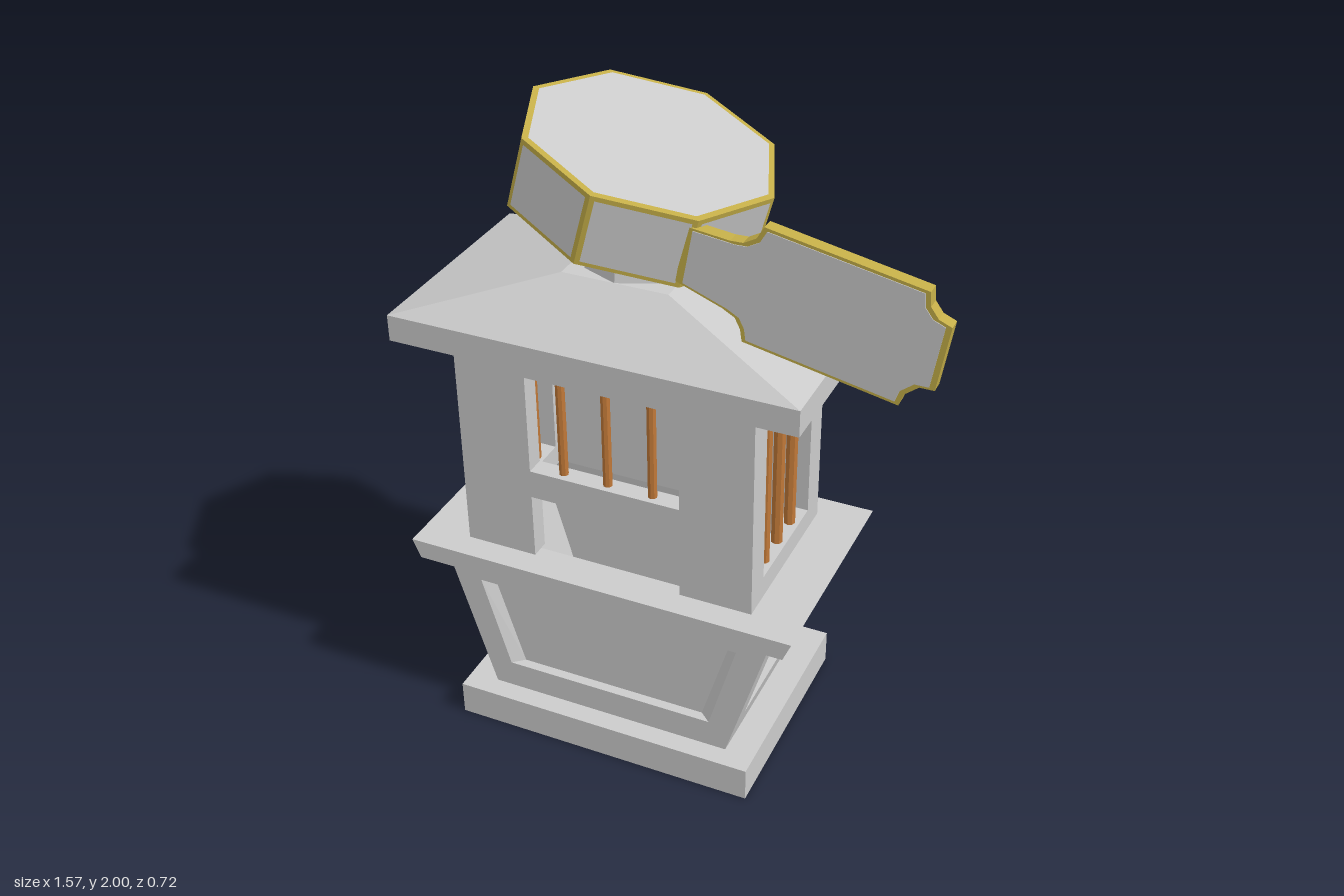
import * as THREE from 'three';

const mat = (color) => new THREE.MeshStandardMaterial({ color, flatShading: true });
const grey = mat(0xcccccc), gold = mat(0xc4ae48), copper = mat(0xc07838);

function add(parent, name, geometry, material = grey, x = 0, y = 0, z = 0) {
  const mesh = new THREE.Mesh(geometry, material);
  mesh.name = name;
  mesh.position.set(x, y, z);
  parent.add(mesh);
  return mesh;
}

// Strips of quads joining matching four-cornered loops; optionally closes the last loop
function loft(loops, cap = false) {
  const out = [];
  const quad = (a, b, c, d) => out.push(...a, ...b, ...c, ...a, ...c, ...d);
  for (let k = 0; k < loops.length - 1; k++) {
    for (let i = 0; i < 4; i++) {
      const j = (i + 1) % 4;
      quad(loops[k][i], loops[k][j], loops[k + 1][j], loops[k + 1][i]);
    }
  }
  if (cap) quad(...loops[loops.length - 1]);
  const g = new THREE.BufferGeometry();
  g.setAttribute('position', new THREE.Float32BufferAttribute(out, 3));
  g.computeVertexNormals();
  return g;
}

// Horizontal rectangle with half sizes hx, hz
const rect = (hx, hz, y) => [[-hx, y, hz], [hx, y, hz], [hx, y, -hz], [-hx, y, -hz]];

// Upright symmetric trapezoid facing +z or, for the sides, +x
const frontLoop = (b, t, y0, y1, z) => [[-b, y0, z], [b, y0, z], [t, y1, z], [-t, y1, z]];
const bodyHalf = (y) => 0.39 + 0.14 * (y - 0.11) / 0.47;
const sideLoop = (hz, y0, y1, inset) => [
  [bodyHalf(y0) - inset, y0, hz], [bodyHalf(y0) - inset, y0, -hz],
  [bodyHalf(y1) - inset, y1, -hz], [bodyHalf(y1) - inset, y1, hz]];

// Wall centred on its own thickness, with a window and an optional slot at the foot
function wall(half, y0, y1, t, win, slotTop) {
  const s = new THREE.Shape();
  s.moveTo(-half, y0);
  if (slotTop) {
    s.lineTo(-win.h, y0); s.lineTo(-win.h, slotTop);
    s.lineTo(win.h, slotTop); s.lineTo(win.h, y0);
  }
  s.lineTo(half, y0); s.lineTo(half, y1); s.lineTo(-half, y1); s.closePath();
  const hole = new THREE.Path();
  hole.moveTo(-win.h, win.y0); hole.lineTo(-win.h, win.y1);
  hole.lineTo(win.h, win.y1); hole.lineTo(win.h, win.y0); hole.closePath();
  s.holes.push(hole);
  return new THREE.ExtrudeGeometry(s, { depth: t, bevelEnabled: false }).translate(0, 0, -t / 2);
}

function barredWall(parent, name, geometry, win, spacing, radius) {
  const g = new THREE.Group();
  g.name = name;
  add(g, 'wallPanel', geometry);
  for (const i of [-1, 0, 1]) {
    const bar = new THREE.CylinderGeometry(radius, radius, win.y1 - win.y0, 8);
    add(g, 'windowBar', bar, copper, i * spacing, (win.y0 + win.y1) / 2, 0);
  }
  parent.add(g);
  return g;
}

function buildBooth() {
  const booth = new THREE.Group();
  booth.name = 'booth';
  booth.position.set(-0.18, 0, -0.005);

  add(booth, 'base', new THREE.BoxGeometry(0.965, 0.11, 0.696), grey, 0, 0.055, 0);

  // Tapered lower body, one recessed panel per face
  for (const turn of [0, Math.PI]) {
    add(booth, 'broadPanel', loft([
      frontLoop(0.39, 0.53, 0.11, 0.58, 0.285),
      frontLoop(0.335, 0.42, 0.2, 0.5, 0.285),
      frontLoop(0.30, 0.39, 0.2, 0.5, 0.255)], true)).rotation.y = turn;
    add(booth, 'endPanel', loft([
      sideLoop(0.285, 0.11, 0.58, 0),
      sideLoop(0.2, 0.2, 0.5, 0),
      sideLoop(0.185, 0.2, 0.5, 0.03)], true)).rotation.y = turn;
  }

  // Counter ledge, running on into the hollow inside of the body
  add(booth, 'counterLedge', loft([
    rect(0.53, 0.285, 0.58), rect(0.585, 0.348, 0.58), rect(0.61, 0.348, 0.64),
    rect(0.42, 0.23, 0.64), rect(0.48, 0.235, 0.58), rect(0.35, 0.235, 0.11)]));

  // Cabin walls
  const hx = 0.4575, hz = 0.267, t = 0.06, y0 = 0.64, y1 = 1.33;
  const frontWin = { h: 0.235, y0: 0.94, y1: 1.255 };
  const sideWin = { h: 0.178, y0: 0.71, y1: 1.265 };
  barredWall(booth, 'frontWall', wall(hx, y0, y1, t, frontWin, 0.85), frontWin, 0.14, 0.014)
    .position.z = hz - t / 2;
  for (const s of [-1, 1]) {
    const side = barredWall(booth, 'sideWall', wall(hz - t, y0, y1, t, sideWin), sideWin, 0.103, 0.018);
    side.position.x = s * (hx - t / 2);
    side.rotation.y = s * Math.PI / 2;
  }
  add(booth, 'backWall', new THREE.BoxGeometry(hx * 2, y1 - y0, t), grey, 0, (y0 + y1) / 2, -hz + t / 2);

  // Hipped roof and neck
  add(booth, 'eaves', new THREE.BoxGeometry(1.22, 0.08, 0.696), grey, 0, 1.37, 0);
  add(booth, 'roof', loft([rect(0.61, 0.348, 1.41), rect(0.16, 0.16, 1.55)], true));
  add(booth, 'neck', new THREE.CylinderGeometry(0.125, 0.16, 0.22, 8), grey, 0, 1.66, 0);
  return booth;
}

// Tilted eight-sided drum: gold frame with grey panels just proud of it
function buildDrum() {
  const drum = new THREE.Group();
  drum.name = 'drum';
  drum.position.set(-0.162, 1.805, 0);
  drum.rotation.z = -0.269;
  const r = 0.361, h = 0.207, apothem = r * Math.cos(Math.PI / 8);
  add(drum, 'drumFrame', new THREE.CylinderGeometry(r, r, h, 8), gold);
  for (const s of [-1, 1]) {
    add(drum, 'drumFace', new THREE.CircleGeometry(r - 0.018, 8), grey, 0, s * (h / 2 + 0.002), 0)
      .rotation.x = -s * Math.PI / 2;
  }
  for (let i = 0; i < 8; i++) {
    const a = (i + 0.5) * Math.PI / 4, d = apothem + 0.002;
    add(drum, 'drumSidePanel', new THREE.PlaneGeometry(0.25, h - 0.024), grey,
      d * Math.sin(a), 0, d * Math.cos(a)).rotation.y = a;
  }
  return drum;
}

// Ticket-shaped plate with scooped corners, gold edge and grey faces
function buildPlate() {
  const plate = new THREE.Group();
  plate.name = 'ticketPlate';
  const pts = [[0.05, 1.66], [0.18, 1.61], [0.215, 1.59], [0.23, 1.56], [0.235, 1.525],
    [0.66, 1.44], [0.672, 1.475], [0.71, 1.505], [0.75, 1.505],
    [0.78, 1.69], [0.745, 1.705], [0.723, 1.735], [0.72, 1.775],
    [0.29, 1.86], [0.27, 1.825], [0.235, 1.806], [0.2, 1.805], [0.08, 1.82]];
  const slab = (scale, depth) => {
    const shape = new THREE.Shape(pts.map(([x, y]) =>
      new THREE.Vector2(0.46 + (x - 0.46) * scale, 1.65 + (y - 1.65) * scale)));
    return new THREE.ExtrudeGeometry(shape, { depth, bevelEnabled: false }).translate(0, 0, -depth / 2);
  };
  add(plate, 'plateEdge', slab(1, 0.038), gold);
  add(plate, 'plateFaces', slab(0.95, 0.042), grey);
  plate.position.z = 0.245;
  return plate;
}

export function createModel() {
  const model = new THREE.Group();
  model.name = 'ticketBooth';
  model.add(buildBooth(), buildDrum(), buildPlate());
  return model;
}
